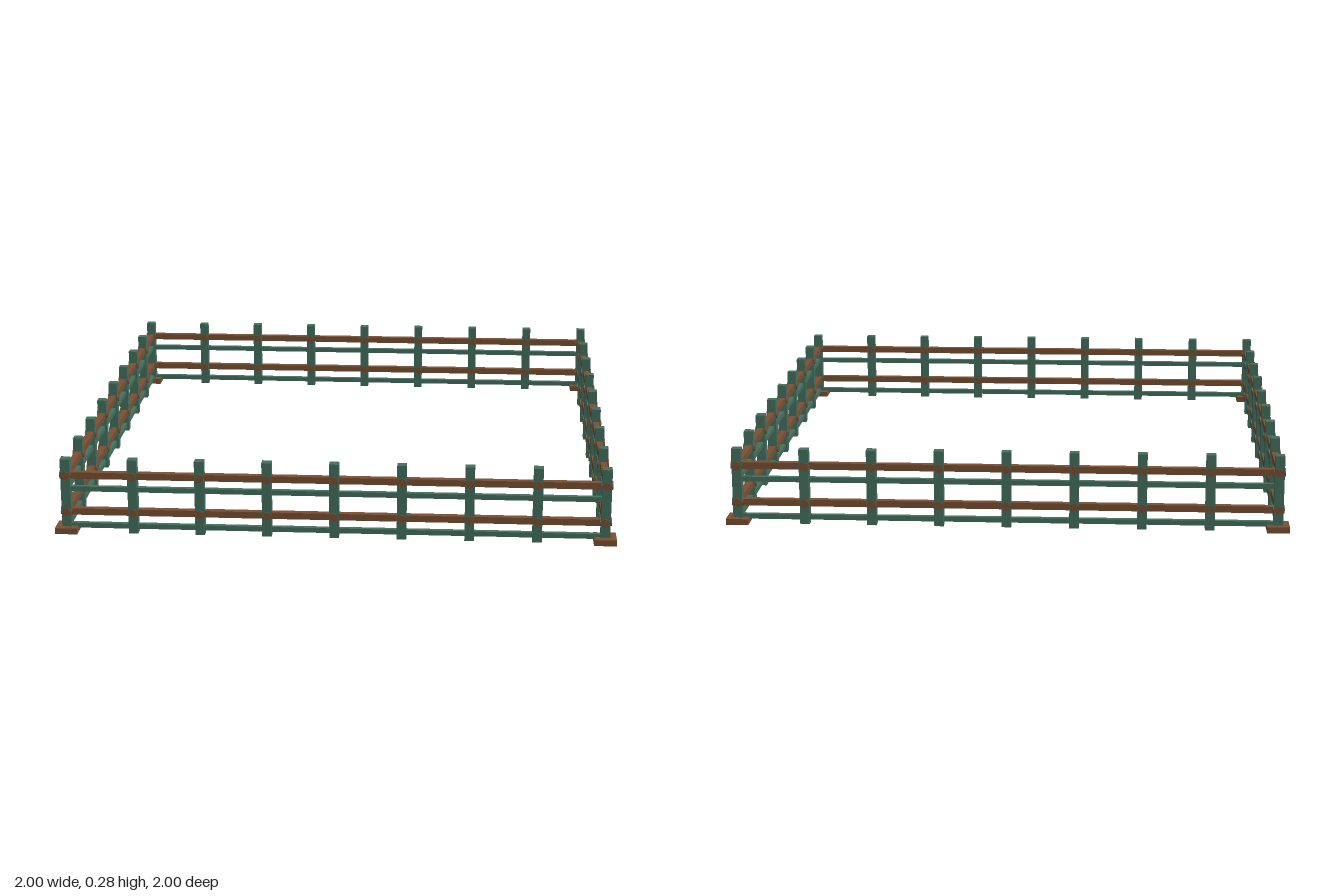
import * as THREE from 'three';

export function createModel() {
  const model = new THREE.Group();
  model.name = 'squareFence';
  const green = new THREE.MeshStandardMaterial({ name: 'paintedGreen', color: 0x44705f });
  const brown = new THREE.MeshStandardMaterial({ name: 'brownWood', color: 0x7a5033 });

  const half = 0.96;      // fence line to centre
  const bays = 8;         // gaps between posts on each side
  const postWidth = 0.034;
  const postHeight = 0.275;

  const add = (parent, name, geometry, material, x, y, z) => {
    const mesh = new THREE.Mesh(geometry, material);
    mesh.name = name;
    mesh.position.set(x, y, z);
    parent.add(mesh);
  };

  const postGeometry = new THREE.BoxGeometry(postWidth, postHeight, postWidth);
  const padGeometry = new THREE.BoxGeometry(0.08, 0.022, 0.08);
  const pegGeometry = new THREE.CylinderGeometry(0.016, 0.016, 0.042, 8).rotateX(Math.PI / 2);
  const rails = [
    { name: 'lowerGreenRail', y: 0.024, size: 0.018, material: green },
    { name: 'lowerBrownRail', y: 0.077, size: 0.024, material: brown },
    { name: 'upperGreenRail', y: 0.162, size: 0.018, material: green },
    { name: 'upperBrownRail', y: 0.213, size: 0.024, material: brown },
  ];

  // Four equal sides, each turned a quarter about the centre
  for (let s = 0; s < 4; s++) {
    const side = new THREE.Group();
    side.name = 'fenceSide';
    side.rotation.y = s * Math.PI / 2;
    model.add(side);

    for (const r of rails) {
      add(side, r.name, new THREE.BoxGeometry(half * 2, r.size, r.size), r.material, 0, r.y, half);
    }

    for (let i = 0; i <= bays; i++) {
      const x = -half + (i * 2 * half) / bays;
      // The last post belongs to the next side
      if (i < bays) add(side, 'post', postGeometry, green, x, postHeight / 2, half);
      // Pegs fixing the brown rails through the posts
      for (const r of rails) {
        if (r.material === brown) add(side, 'railPeg', pegGeometry, brown, x, r.y, half);
      }
    }

    // Footing under the corner post
    add(side, 'cornerFooting', padGeometry, brown, -half, 0.011, half);
  }
  return model;
}
